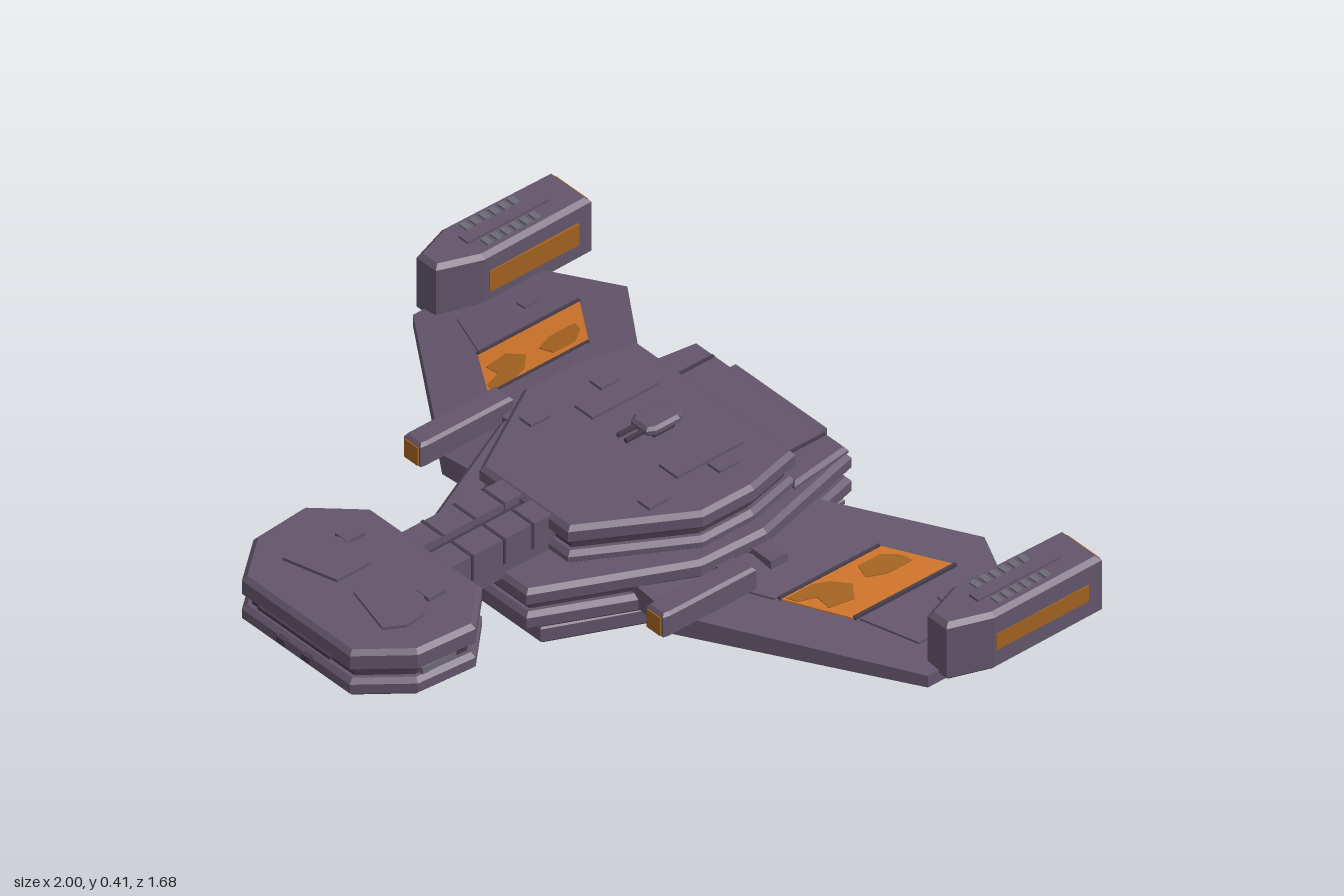
import * as THREE from 'three';

const material = (name, color) => {
  const m = new THREE.MeshStandardMaterial({ color });
  m.name = name;
  return m;
};

export function createModel() {
  const model = new THREE.Group();
  model.name = 'starship';
  const hull = material('hull purple', 0x63556b);
  const trim = material('groove dark purple', 0x453b4b);
  const glow = material('bright orange', 0xcb7229);
  const rust = material('burnt orange', 0xa0611f);
  const vent = material('vent grey', 0x6b6a75);

  const add = (name, geometry, mat, parent = model) => {
    const mesh = new THREE.Mesh(geometry, mat);
    mesh.name = name;
    parent.add(mesh);
    return mesh;
  };

  // Box given by its extents on each axis
  const box = (name, x, y, z, mat, parent) => {
    const g = new THREE.BoxGeometry(Math.abs(x[1] - x[0]), y[1] - y[0], z[1] - z[0]);
    g.translate((x[0] + x[1]) / 2, (y[0] + y[1]) / 2, (z[0] + z[1]) / 2);
    return add(name, g, mat, parent);
  };

  // Plan outline [x, z] raised from y0 to y1, with chamfered rims
  const slabGeometry = (outline, y0, y1, bevel = 0, inset = 0) => {
    const shape = new THREE.Shape(outline.map(([x, z]) => new THREE.Vector2(x, -z)));
    const edge = bevel || (inset ? 0.0005 : 0);
    const g = new THREE.ExtrudeGeometry(shape, {
      depth: y1 - y0 - 2 * edge, bevelEnabled: edge > 0, bevelThickness: edge,
      bevelSize: edge, bevelOffset: -edge - inset, bevelSegments: 1, steps: 1,
    });
    g.rotateX(-Math.PI / 2);
    g.translate(0, y0 + edge, 0);
    return g;
  };
  const symmetric = (half) => [...half, ...half.map(([x, z]) => [-x, z]).reverse()];

  // Each deck is two armour layers around a recessed dark band
  const deck = (name, half, [y0, y1, y2, y3], bevel = 0.012) => {
    const group = new THREE.Group();
    group.name = name;
    model.add(group);
    const o = symmetric(half);
    add(name + 'LowerArmour', slabGeometry(o, y0, y1, bevel), hull, group);
    add(name + 'Groove', slabGeometry(o, y1 - 0.002, y2 + 0.002, 0, 0.022), trim, group);
    add(name + 'UpperArmour', slabGeometry(o, y2, y3, bevel), hull, group);
  };
  deck('head', [[0.2, 0.415], [0.31, 0.53], [0.297, 0.7], [0.195, 0.825]], [0.25, 0.3, 0.322, 0.385]);
  deck('lowerHull', [[0.28, -0.655], [0.29, -0.3], [0.27, -0.14], [0.13, 0.17]], [0.037, 0.097, 0.12, 0.155]);
  deck('middleHull', [[0.28, -0.675], [0.372, -0.33], [0.365, -0.13], [0.18, 0.258]], [0.15, 0.203, 0.22, 0.272]);
  deck('upperHull', [[0.285, -0.495], [0.325, -0.33], [0.325, -0.17], [0.16, 0.11]], [0.262, 0.3, 0.322, 0.375]);

  // Neck with split rails and cross seams
  box('neckCore', [-0.085, 0.085], [0.26, 0.35], [0.08, 0.44], trim);
  for (const s of [1, -1]) {
    box('neckRail', [s * 0.015, s * 0.09], [0.258, 0.372], [0.08, 0.44], hull);
    for (const z of [0.16, 0.25, 0.35])
      box('neckSeam', [s * 0.015, s * 0.092], [0.3, 0.374], [z - 0.004, z + 0.004], trim);
  }

  // Rear deck, its side ribs and the stern grille
  add('rearDeck', slabGeometry(symmetric([[0.275, -0.67], [0.3, -0.48]]), 0.265, 0.292, 0.01), hull);
  box('sternBlock', [-0.165, 0.165], [0.19, 0.27], [-0.698, -0.66], hull);
  box('sternGrille', [-0.15, 0.15], [0.2, 0.26], [-0.701, -0.69], trim);
  for (let i = 0; i < 3; i++)
    box('grilleBar', [-0.145, 0.145], [0.208 + i * 0.018, 0.215 + i * 0.018], [-0.703, -0.698], rust);
  for (const s of [1, -1])
    box('rearDeckRib', [s * 0.197, s * 0.205], [0.285, 0.296], [-0.66, -0.49], trim);

  // Raised plates on the upper hull and head
  for (const s of [1, -1]) {
    box('deckBar', [s * 0.12, s * 0.185], [0.37, 0.383], [-0.42, -0.21], hull);
    for (const z of [-0.33, -0.11])
      box('deckHatch', [s * 0.192, s * 0.235], [0.37, 0.383], [z - 0.03, z + 0.03], hull);
    const pad = [[0.03, 0.56], [0.14, 0.545], [0.205, 0.6], [0.21, 0.66], [0.18, 0.71], [0.03, 0.67]];
    add('headPad', slabGeometry(pad.map(([x, z]) => [s * x, z]), 0.38, 0.393), hull);
    box('headHatch', [s * 0.125, s * 0.17], [0.38, 0.395], [0.5, 0.555], hull);
    box('headSensor', [s * 0.03, s * 0.06], [0.275, 0.292], [0.82, 0.835], trim);
    box('headSidePort', [s * 0.27, s * 0.292], [0.302, 0.32], [0.575, 0.68], vent);
  }
  box('headBrow', [-0.13, 0.13], [0.328, 0.338], [0.81, 0.832], trim);

  // Twin-barrel turrets above and below
  const turret = (name, y, z, up) => {
    const group = new THREE.Group();
    group.name = name;
    model.add(group);
    const half = [[0.03, -0.057], [0.04, -0.04], [0.04, 0.035], [0.028, 0.055]];
    add('turretHousing', slabGeometry(symmetric(half), 0.01, 0.037, 0.008), hull, group);
    box('turretBase', [-0.028, 0.028], [-0.005, 0.015], [-0.035, 0.03], trim, group);
    for (const s of [1, -1])
      box('turretBarrel', [s * 0.009, s * 0.019], [0.016, 0.026], [0.04, 0.108], trim, group);
    group.position.set(0, y, z);
    if (!up) group.rotation.z = Math.PI;
  };
  turret('topTurret', 0.376, -0.305, true);
  turret('bottomTurret', 0.038, -0.1, false);

  // Wings taper and droop towards the tips
  const wingTop = (x) => 0.22 - 0.125 * (Math.abs(x) - 0.36);
  const wingBottom = (x) => 0.16 - 0.08 * (Math.abs(x) - 0.36);
  const wingPlate = (name, outline, rise, s, mat) => {
    const g = slabGeometry(outline.map(([x, z]) => [s * x, z]), 0, rise);
    const p = g.attributes.position;
    for (let i = 0; i < p.count; i++)
      p.setY(i, wingTop(p.getX(i)) + (p.getY(i) > rise / 2 ? rise : -0.004));
    g.computeVertexNormals();
    add(name, g, mat);
  };

  for (const s of [1, -1]) {
    const outline = [[0.25, 0.01], [0.41, 0.01], [0.93, -0.35], [0.93, -0.655], [0.845, -0.69], [0.645, -0.775], [0.33, -0.55], [0.25, -0.5]];
    const g = slabGeometry(outline.map(([x, z]) => [s * x, z]), 0, 1);
    const p = g.attributes.position;
    for (let i = 0; i < p.count; i++) {
      const x = p.getX(i);
      p.setY(i, p.getY(i) > 0.5 ? wingTop(x) : wingBottom(x));
    }
    g.computeVertexNormals();
    add('wing', g, hull);

    // Armour and orange wing panels with darker patches
    wingPlate('wingOuterArmour', [[0.69, -0.345], [0.835, -0.405], [0.835, -0.68], [0.69, -0.66]], 0.006, s, hull);
    wingPlate('wingInnerArmour', [[0.37, -0.13], [0.52, -0.225], [0.52, -0.545], [0.37, -0.5]], 0.006, s, hull);
    wingPlate('wingPanel', [[0.525, -0.235], [0.68, -0.335], [0.68, -0.655], [0.525, -0.55]], 0.004, s, glow);
    wingPlate('wingPanelPatch', [[0.535, -0.25], [0.56, -0.262], [0.575, -0.31], [0.62, -0.31], [0.63, -0.38], [0.59, -0.41], [0.55, -0.37], [0.535, -0.33]], 0.006, s, rust);
    wingPlate('wingPanelPatch', [[0.55, -0.46], [0.59, -0.45], [0.61, -0.5], [0.61, -0.58], [0.58, -0.57], [0.55, -0.53]], 0.006, s, rust);
    for (const x of [0.525, 0.68])
      wingPlate('wingSeam', [[x - 0.004, -0.235 - (x - 0.525) * 0.65], [x + 0.004, -0.235 - (x - 0.525) * 0.65], [x + 0.004, -0.55 - (x - 0.525) * 0.68], [x - 0.004, -0.55 - (x - 0.525) * 0.68]], 0.008, s, trim);
    wingPlate('wingHatch', [[0.745, -0.54], [0.775, -0.54], [0.775, -0.59], [0.745, -0.59]], 0.012, s, hull);

    // Root fittings and forward cannon
    for (const z of [-0.31, -0.2])
      box('wingRootBlock', [s * 0.35, s * 0.44], [0.2, 0.24], [z - 0.027, z + 0.027], hull);
    const cannon = [[0.408, 0.08], [0.468, 0.08], [0.472, 0.06], [0.472, -0.21], [0.405, -0.21], [0.405, 0.06]];
    add('wingCannon', slabGeometry(cannon.map(([x, z]) => [s * x, z]), 0.205, 0.278, 0.008), hull);
    box('cannonMuzzle', [s * 0.414, s * 0.462], [0.215, 0.268], [0.07, 0.084], rust);

    // Wingtip engine pod with orange side, rear panels and roof vents
    const pod = [[0.85, -0.84], [0.995, -0.84], [0.998, -0.5], [0.957, -0.385], [0.888, -0.385], [0.845, -0.5]];
    add('enginePod', slabGeometry(pod.map(([x, z]) => [s * x, z]), 0.128, 0.298, 0.012), hull);
    box('podOuterPanel', [s * 0.99, s * 0.9995], [0.188, 0.235], [-0.795, -0.505], rust);
    box('podInnerPanel', [s * 0.841, s * 0.851], [0.185, 0.245], [-0.795, -0.515], rust);
    box('podExhaust', [s * 0.865, s * 0.982], [0.143, 0.284], [-0.844, -0.835], rust);
    box('podRoofSpine', [s * 0.905, s * 0.938], [0.29, 0.305], [-0.76, -0.5], hull);
    for (const x of [0.883, 0.96])
      for (let i = 0; i < 6; i++)
        box('podVent', [s * (x - 0.014), s * (x + 0.014)], [0.292, 0.303], [-0.7 + i * 0.03, -0.682 + i * 0.03], vent);
  }
  return model;
}
